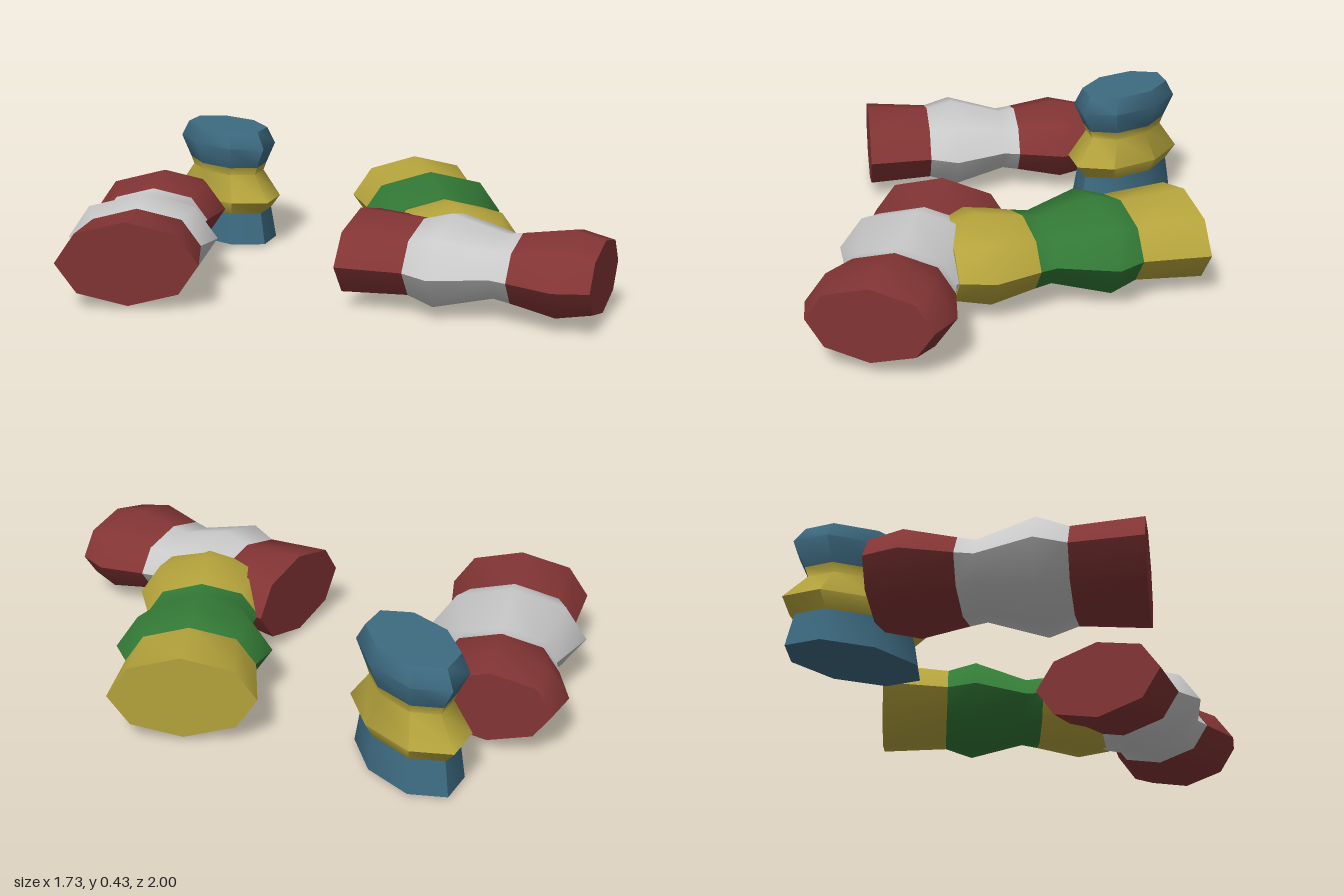
import * as THREE from 'three';
import { toCreasedNormals } from 'three/addons/utils/BufferGeometryUtils.js';

const mat = (name, color) => {
  const m = new THREE.MeshStandardMaterial({ color });
  m.name = name;
  return m;
};

// Bead profile as [radius, distance along axis], split into three colour bands
const BANDS = [
  ['flatEnd', [[0, 0], [0.24, 0], [0.216, 0.227]]],
  ['middle', [[0.216, 0.227], [0.262, 0.325], [0.18, 0.51], [0.194, 0.568]]],
  ['roundedEnd', [[0.194, 0.568], [0.24, 0.727], [0.202, 0.84], [0, 0.84]]],
];
const FLATTEN = 0.6; // oval section: height / width

// Eight-sided oval bead starting at origin, running along axis, thin along `thin`
function bead(name, origin, axis, thin, endMaterial, midMaterial, lengthScale = 1) {
  const group = new THREE.Group();
  group.name = name;
  for (const [part, points] of BANDS) {
    const lathe = new THREE.LatheGeometry(points.map(([r, t]) => new THREE.Vector2(r, t)), 8);
    lathe.scale(1, lengthScale, FLATTEN);
    const mesh = new THREE.Mesh(toCreasedNormals(lathe, 1.0), part === 'middle' ? midMaterial : endMaterial);
    mesh.name = part;
    group.add(mesh);
  }
  const y = new THREE.Vector3(...axis).normalize();
  const z = new THREE.Vector3(...thin).normalize();
  const x = new THREE.Vector3().crossVectors(y, z);
  group.quaternion.setFromRotationMatrix(new THREE.Matrix4().makeBasis(x, y, z));
  group.position.set(...origin);
  return group;
}

export function createModel() {
  const red = mat('dark red', 0x823434);
  const white = mat('pale grey', 0xc8c8c8);
  const yellow = mat('mustard yellow', 0xb5a43c);
  const green = mat('green', 0x337a36);
  const blue = mat('slate blue', 0x3d6a80);
  const up = [0, 1, 0];
  const h = 0.159;

  const model = new THREE.Group();
  model.name = 'capsules';
  model.add(
    // three capsules lying flat
    bead('backCapsule', [-0.712, h, -0.307], [0.767, 0, -0.641], up, red, white),
    bead('frontCapsule', [-0.052, h, 0.137], [0.341, 0, 0.94], up, red, white),
    bead('leftCapsule', [0.675, h, -0.232], [-0.635, 0, 0.771], up, yellow, green),
    // short capsule standing on its flat end
    bead('standingCapsule', [0.167, 0.01, -0.745], up, [0.985, 0, 0.174], blue, yellow, 0.508),
  );
  return model;
}
